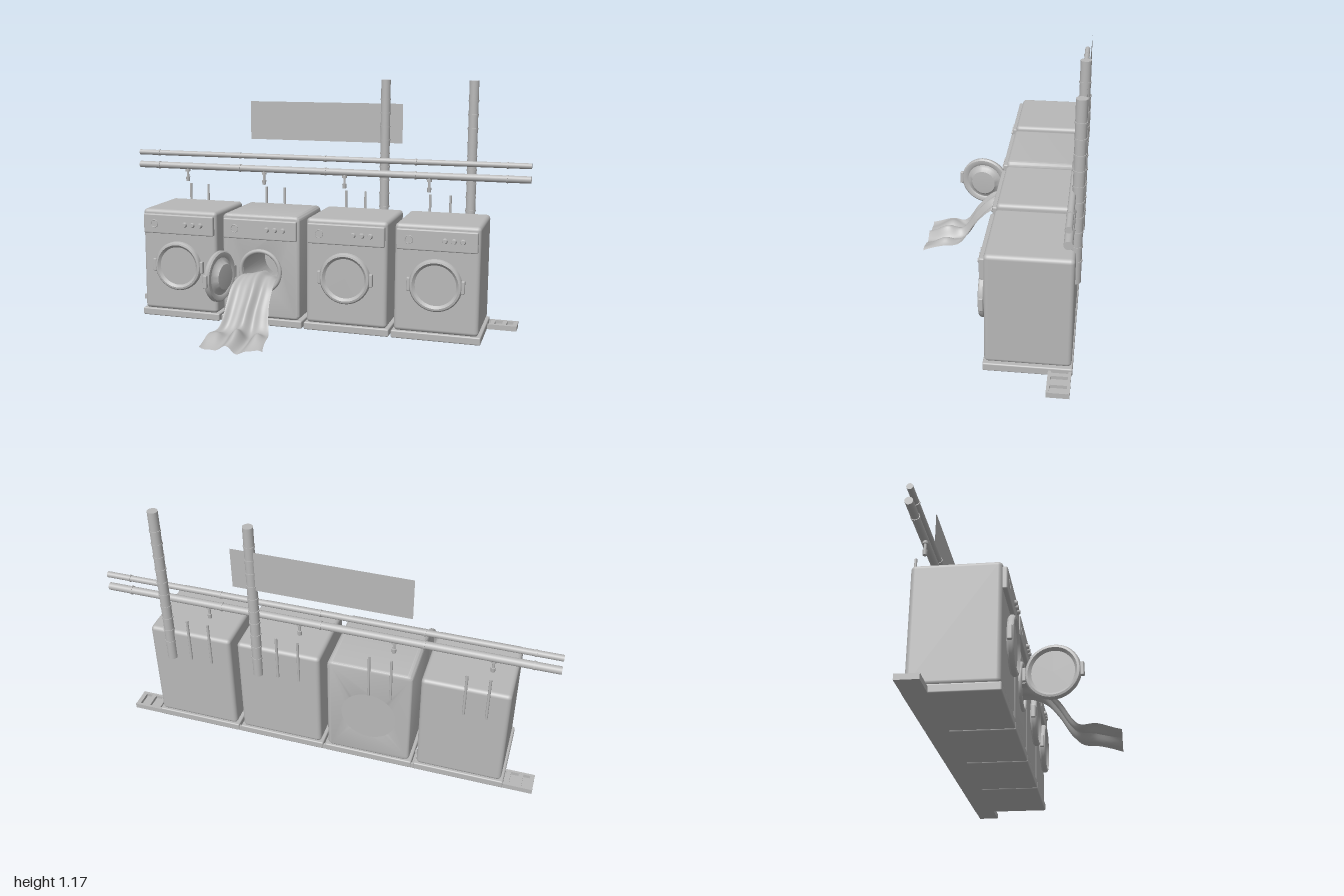
import * as THREE from 'three';
import { toCreasedNormals } from 'three/addons/utils/BufferGeometryUtils.js';
import { RoundedBoxGeometry } from 'three/addons/geometries/RoundedBoxGeometry.js';
import { ParametricGeometry } from 'three/addons/geometries/ParametricGeometry.js';

const grey = new THREE.MeshStandardMaterial({ color: 0xb8b8b8 });
grey.name = 'plain grey';
const greyThin = new THREE.MeshStandardMaterial({ color: 0xb8b8b8, side: THREE.DoubleSide });
greyThin.name = 'plain grey thin';

function add(parent, name, geometry, x = 0, y = 0, z = 0, material = grey) {
  const mesh = new THREE.Mesh(geometry, material);
  mesh.name = name;
  mesh.position.set(x, y, z);
  parent.add(mesh);
  return mesh;
}

const box = (w, h, d, r) => new RoundedBoxGeometry(w, h, d, 3, r);
const rod = (r, length, sides = 20) => new THREE.CylinderGeometry(r, r, length, sides);

// Porthole door, centred on its own axis and facing +z
function makeDoor() {
  const door = new THREE.Group();
  door.name = 'door';
  const profile = [
    [0, -0.035], [0.06, -0.031], [0.074, -0.012], [0.088, -0.008], [0.095, -0.013], [0.113, -0.013],
    [0.12, -0.006], [0.12, 0.005], [0.114, 0.013], [0.105, 0.015], [0.099, 0.009], [0.093, 0.003], [0, 0.003],
  ].map(([r, y]) => new THREE.Vector2(r, y));
  const shell = toCreasedNormals(new THREE.LatheGeometry(profile, 48).rotateX(Math.PI / 2), 0.7);
  add(door, 'doorShell', shell);
  add(door, 'doorHandle', box(0.016, 0.06, 0.02, 0.004), 0.123, 0, 0);
  add(door, 'doorHinge', box(0.016, 0.06, 0.02, 0.004), -0.123, 0, 0);
  return door;
}

// Cabinet with a round opening through its front
function makeOpenCabinet(parent) {
  const b = 0.014, x = 0.1925 - b, y = 0.25 - b, r = 0.012;
  const shape = new THREE.Shape();
  shape.moveTo(-x + r, -y);
  shape.lineTo(x - r, -y).quadraticCurveTo(x, -y, x, -y + r);
  shape.lineTo(x, y - r).quadraticCurveTo(x, y, x - r, y);
  shape.lineTo(-x + r, y).quadraticCurveTo(-x, y, -x, y - r);
  shape.lineTo(-x, -y + r).quadraticCurveTo(-x, -y, -x + r, -y);
  const hole = new THREE.Path();
  hole.absarc(0, -0.02, 0.105, 0, Math.PI * 2, true);
  shape.holes.push(hole);
  const geometry = new THREE.ExtrudeGeometry(shape, {
    depth: 0.355 - 2 * b, bevelThickness: b, bevelSize: b, bevelSegments: 4, curveSegments: 24,
  });
  add(parent, 'cabinet', toCreasedNormals(geometry, 0.6), 0, 0.3, -0.375 + b);
  add(parent, 'backCover', new THREE.CircleGeometry(0.125, 40).rotateY(Math.PI), 0, 0.28, -0.3755);
  const drum = new THREE.CylinderGeometry(0.092, 0.092, 0.3, 40, 1, true).rotateX(Math.PI / 2);
  add(parent, 'drum', drum, 0, 0.28, -0.18, greyThin);
  add(parent, 'drumEnd', new THREE.CircleGeometry(0.092, 40), 0, 0.28, -0.33);
  add(parent, 'doorSeal', new THREE.TorusGeometry(0.098, 0.01, 10, 48), 0, 0.28, -0.015);
}

function makeMachine(x, open) {
  const machine = new THREE.Group();
  machine.name = 'washingMachine';
  machine.position.x = x;
  add(machine, 'plinth', box(0.408, 0.036, 0.365, 0.006), 0, 0.033, -0.1975);
  if (open) makeOpenCabinet(machine);
  else add(machine, 'cabinet', box(0.385, 0.5, 0.355, 0.018), 0, 0.3, -0.1975);

  // Control panel with a dial and three knobs
  add(machine, 'controlPanel', box(0.365, 0.095, 0.024, 0.006), 0, 0.482, -0.014);
  const dial = new THREE.TorusGeometry(0.018, 0.002, 6, 28);
  add(machine, 'dial', dial, -0.125, 0.482, -0.002);
  for (const dx of [0.037, 0.077, 0.117]) {
    add(machine, 'knob', new THREE.CylinderGeometry(0.009, 0.013, 0.014, 20).rotateX(Math.PI / 2), dx, 0.484, 0.003);
  }

  // Door, swung on its left hinge when open
  const hinge = new THREE.Group();
  hinge.name = 'doorPivot';
  hinge.position.set(-0.125, 0.28, 0);
  const door = makeDoor();
  door.position.x = 0.125;
  hinge.add(door);
  if (open) {
    hinge.position.z = 0.006;
    hinge.rotation.y = THREE.MathUtils.degToRad(-100);
  }
  machine.add(hinge);

  // Hoses on the back
  for (const dx of [-0.098, 0]) add(machine, 'hose', rod(0.006, 0.22, 12), dx, 0.52, -0.38);

  // Tap hanging from the lower pipe
  add(machine, 'tapStem', rod(0.006, 0.06, 12), -0.098, 0.69, -0.345);
  add(machine, 'tapNozzle', new THREE.CylinderGeometry(0.011, 0.009, 0.022, 16), -0.098, 0.657, -0.345);
  add(machine, 'tapCollar', rod(0.012, 0.012, 16), -0.098, 0.703, -0.345);
  return machine;
}

// Crumpled sheet spilling out of the open door
function makeCloth() {
  const path = new THREE.CatmullRomCurve3([
    [0.27, -0.06], [0.275, 0.01], [0.245, 0.075], [0.165, 0.145], [0.06, 0.22], [0.046, 0.3], [0.022, 0.4],
  ].map(([y, z]) => new THREE.Vector3(0, y, z)));
  const surface = (u, v, target) => {
    const p = path.getPoint(v);
    const s = u * 2 - 1;
    const half = 0.09 + 0.067 * v * v;
    const middle = -0.217 + 0.016 * v * v;
    const fold = Math.sin(u * 13 + 0.6 + v * 2) * 0.7 + Math.sin(u * 23 + v * 4) * 0.3;
    const droop = -0.03 * s * s * (1 - v);
    const lift = 0.026 * Math.exp(-(((v - 0.83) / 0.1) ** 2)) * Math.sin(u * 9 + 0.5) ** 2;
    const x = middle + s * half + 0.008 * Math.sin(v * 14 + u * 4) * v;
    const y = p.y + fold * (0.006 + 0.012 * v) + droop + lift;
    target.set(x, Math.max(y, 0.001), Math.min(p.z + fold * 0.012 * v * (1 - v) * 3, 0.4));
  };
  return new ParametricGeometry(surface, 48, 48);
}

// Pipe standing on its centre, with raised joint rings at the given heights
function makePipe(name, radius, length, rings) {
  const pipe = new THREE.Group();
  pipe.name = name;
  add(pipe, name + 'Tube', rod(radius, length, 24));
  for (const y of rings) add(pipe, name + 'Joint', rod(radius + 0.0025, 0.007, 24), 0, y, 0);
  return pipe;
}

export function createModel() {
  const model = new THREE.Group();
  model.name = 'laundryRow';

  for (let i = 0; i < 4; i++) model.add(makeMachine(-0.63 + i * 0.4185, i === 1));
  add(model, 'spilledSheet', makeCloth(), 0, 0, 0, greyThin);

  // Drain tray along the back, open with rungs at both ends
  add(model, 'trayFloor', new THREE.BoxGeometry(1.93, 0.008, 0.092), 0, 0.019, -0.329);
  for (const z of [-0.288, -0.37]) add(model, 'trayRail', new THREE.BoxGeometry(1.93, 0.024, 0.012), 0, 0.027, z);
  for (const side of [-1, 1]) {
    for (const x of [0.85, 0.905, 0.955]) {
      add(model, 'trayRung', new THREE.BoxGeometry(0.02, 0.022, 0.08), side * x, 0.027, -0.329);
    }
  }

  // Two long water pipes
  const joints = [-0.89, -0.44, 0.01, 0.46, 0.89];
  for (const [y, r] of [[0.788, 0.0135], [0.724, 0.017]]) {
    const pipe = makePipe('waterPipe', r, 2, joints);
    pipe.rotation.z = -Math.PI / 2;
    pipe.position.set(0, y, -0.352);
    model.add(pipe);
  }

  // Two upright vent pipes
  const rings = Array.from({ length: 10 }, (_, i) => -0.29 + i * 0.065);
  for (const x of [0.303, 0.722]) {
    const pipe = makePipe('ventPipe', 0.0225, 0.775, rings);
    pipe.position.set(x, 0.7875, -0.374);
    model.add(pipe);
  }

  // Blank wall sign
  add(model, 'wallSign', new THREE.PlaneGeometry(0.778, 0.19), -0.003, 0.966, -0.385, greyThin);
  return model;
}
